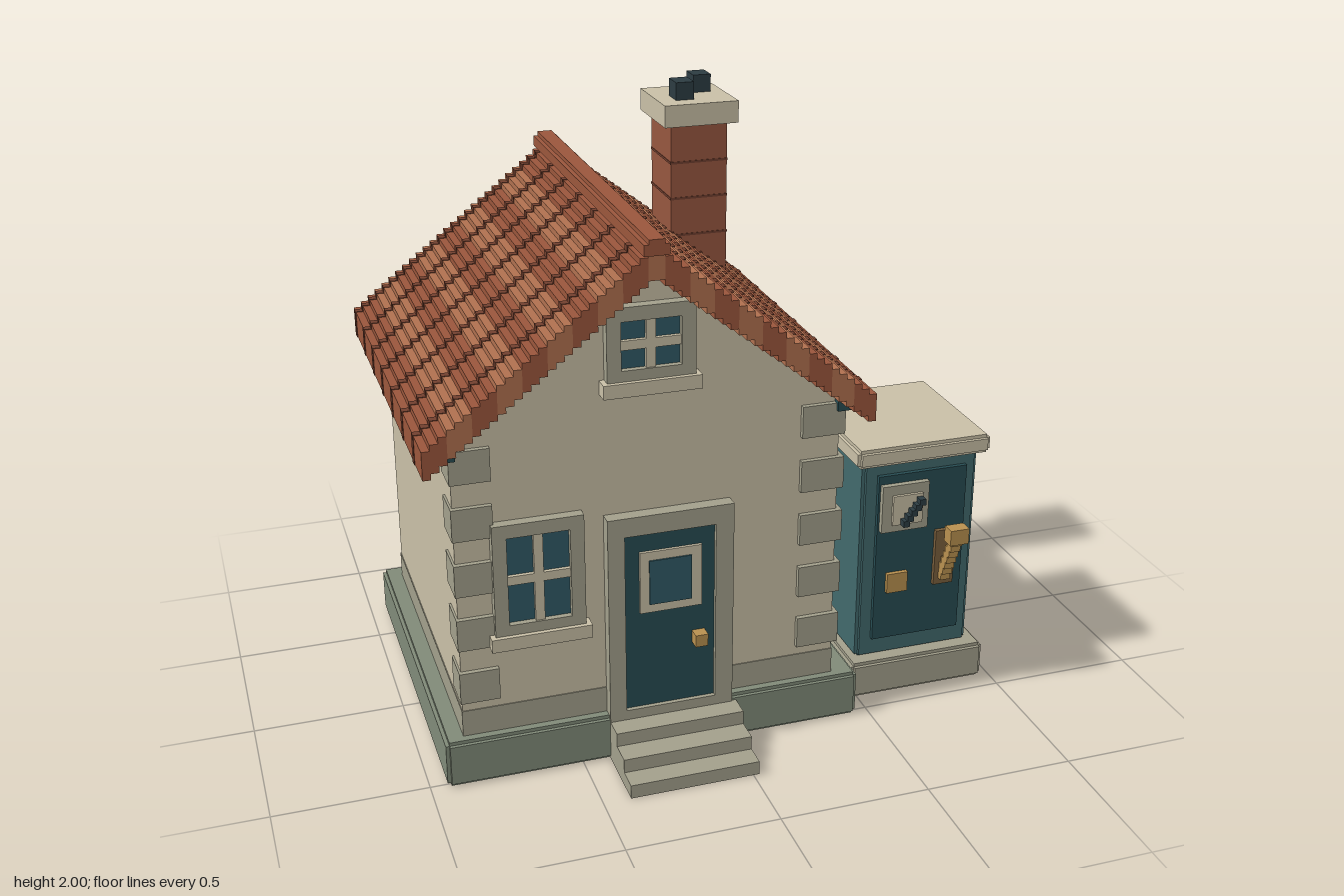
import * as THREE from 'three';
import { mergeGeometries } from 'three/addons/utils/BufferGeometryUtils.js';

const C = {
  wall: 0xc8bfa6, stone: 0xa29f8b, base: 0x808a78, tealDark: 0x274c52, teal: 0x41696c,
  glass: 0x305a65, iron: 0x2c3c42, pipe: 0x455156, brass: 0xb8904f, bronze: 0x7a5f3c,
  tileA: 0x9a563c, tileB: 0xb0704f, tileDark: 0x713f2e, brick: 0x96563f, mortar: 0x6f3e2e,
};
const mats = {};
const mat = (c) => (mats[c] ??= new THREE.MeshStandardMaterial({ color: C[c], flatShading: true }));

// Box geometry from its min and max along each axis
function boxGeo(x0, x1, y0, y1, z0, z1) {
  return new THREE.BoxGeometry(x1 - x0, y1 - y0, z1 - z0)
    .translate((x0 + x1) / 2, (y0 + y1) / 2, (z0 + z1) / 2);
}
function add(parent, name, color, geo) {
  const m = new THREE.Mesh(geo, mat(color));
  m.name = name;
  parent.add(m);
  return m;
}
const box = (parent, name, color, ...b) => add(parent, name, color, boxGeo(...b));
const boxes = (parent, name, color, list) => add(parent, name, color, mergeGeometries(list));
function group(parent, name) {
  const g = new THREE.Group();
  g.name = name;
  parent.add(g);
  return g;
}

// Slab with its upright edges and rims slightly stepped in
function steppedSlab(parent, name, color, x0, x1, y0, y1, z0, z1, e = 0.012) {
  boxes(parent, name, color, [
    boxGeo(x0 + e, x1 - e, y0, y1, z0 + e, z1 - e),
    boxGeo(x0, x1, y0 + e, y1 - e, z0 + e, z1 - e),
    boxGeo(x0 + e, x1 - e, y0 + e, y1 - e, z0, z1),
  ]);
}

// Four-pane window facing +z; origin at the centre of the glass on the wall
function makeWindow(parent, name, w, h) {
  const g = group(parent, name), f = 0.045, x = w / 2, y = h / 2;
  boxes(g, 'windowFrame', 'stone', [
    boxGeo(-x - f, -x, -y - f, y + f, -0.01, 0.035), boxGeo(x, x + f, -y - f, y + f, -0.01, 0.035),
    boxGeo(-x, x, y, y + f, -0.01, 0.035), boxGeo(-x, x, -y - f, -y, -0.01, 0.035),
  ]);
  box(g, 'windowGlass', 'glass', -x, x, -y, y, -0.01, 0.015);
  boxes(g, 'windowBars', 'wall', [
    boxGeo(-0.015, 0.015, -y, y, 0, 0.028), boxGeo(-x, x, -0.015, 0.015, 0, 0.028),
  ]);
  box(g, 'windowSill', 'wall', -x - f - 0.016, x + f + 0.016, -y - f - 0.035, -y - f + 0.01, -0.01, 0.05);
  return g;
}

function makeHouse(root) {
  const house = group(root, 'house');
  steppedSlab(house, 'foundation', 'base', -0.945, 0.455, 0, 0.16, -0.71, 0.525);

  // Walls with gable ends
  const s = new THREE.Shape([[-0.88, 0.15], [0.37, 0.15], [0.37, 1.19], [-0.255, 1.69], [-0.88, 1.19]]
    .map(([x, y]) => new THREE.Vector2(x, y)));
  add(house, 'walls', 'wall',
    new THREE.ExtrudeGeometry(s, { depth: 1.125, bevelEnabled: false }).translate(0, 0, -0.64));
  box(house, 'wallBand', 'stone', -0.883, 0.373, 0.15, 0.25, -0.643, 0.488);

  // Corner stones
  const stones = [];
  for (let i = 0; i < 5; i++) {
    const y = 0.285 + i * 0.189, t = y + 0.108;
    stones.push(
      boxGeo(-0.887, -0.76, y, t, 0.38, 0.502), boxGeo(0.24, 0.385, y, t, 0.36, 0.502),
      boxGeo(0.3, 0.385, y, t, 0.29, 0.495), boxGeo(0.3, 0.385, y, t, -0.65, -0.49));
  }
  boxes(house, 'cornerStones', 'stone', stones);

  // Windows
  makeWindow(house, 'frontWindow', 0.2, 0.3).position.set(-0.625, 0.7, 0.485);
  makeWindow(house, 'gableWindow', 0.19, 0.155).position.set(-0.26, 1.428, 0.485);
  const side = makeWindow(house, 'sideWindow', 0.2, 0.3);
  side.position.set(0.37, 0.71, -0.06);
  side.rotation.y = Math.PI / 2;

  // Door
  const door = group(house, 'frontDoor');
  boxes(door, 'doorFrame', 'stone', [
    boxGeo(-0.41, -0.355, 0.14, 0.865, 0.47, 0.53), boxGeo(-0.055, 0.005, 0.14, 0.865, 0.47, 0.53),
    boxGeo(-0.355, -0.055, 0.8, 0.865, 0.47, 0.53), boxGeo(-0.355, -0.055, 0.14, 0.175, 0.47, 0.53),
  ]);
  box(door, 'doorLeaf', 'tealDark', -0.355, -0.055, 0.175, 0.8, 0.47, 0.515);
  box(door, 'doorWindowFrame', 'wall', -0.305, -0.1, 0.52, 0.735, 0.5, 0.525);
  box(door, 'doorGlass', 'glass', -0.275, -0.135, 0.55, 0.705, 0.5, 0.53);
  box(door, 'doorKnob', 'brass', -0.13, -0.088, 0.383, 0.425, 0.5, 0.555);
  [0.755, 0.68, 0.6].forEach((z, i) =>
    box(house, 'step', 'stone', -0.41, 0.02, i * 0.047, (i + 1) * 0.047, 0.5, z));
}

// Stepped roof: one plank of tiles per step, with dark seams across
function makeRoof(root) {
  const roof = group(root, 'roof');
  const n = 28, cx = -0.257, half = 0.717, w = half / n, rise = 0.56 / n, e = 0.002;
  const parts = { tileA: [], tileB: [], tileDark: [] };
  for (const side of [-1, 1]) {
    for (let i = 0; i < n; i++) {
      const a = cx + side * (half - i * w), b = a - side * w;
      const x0 = Math.min(a, b), x1 = Math.max(a, b), y0 = 1.1 + i * rise, y1 = y0 + 0.092;
      parts[i % 6 < 3 ? 'tileA' : 'tileB'].push(boxGeo(x0, x1, y0, y1, -0.74, 0.565));
      for (let k = 0; k < 7; k++) {
        const z = -0.7 + k * 0.188;
        parts.tileDark.push(boxGeo(x0 - e, x1 + e, y0 - e, y1 + e, z - 0.014, z + 0.014));
      }
    }
    // Gutter under the eave
    const g = cx + side * 0.635;
    box(roof, 'gutter', 'tealDark', g - 0.025, g + 0.025, 1.125, 1.175, -0.66, 0.515);
  }
  for (const c in parts) boxes(roof, 'roofTiles', c, parts[c]);
  boxes(roof, 'ridgeCap', 'tileA', [
    boxGeo(-0.3, -0.22, 1.72, 1.755, -0.755, 0.58), boxGeo(-0.285, -0.235, 1.72, 1.77, -0.755, 0.58),
  ]);

  // Chimney
  const ch = group(root, 'chimney');
  box(ch, 'chimneyStack', 'brick', 0.07, 0.27, 1.31, 1.87, -0.54, -0.32);
  for (const y of [1.48, 1.61, 1.735])
    box(ch, 'mortarLine', 'mortar', 0.068, 0.272, y - 0.004, y + 0.004, -0.542, -0.318);
  box(ch, 'chimneyCap', 'wall', 0.04, 0.3, 1.865, 1.94, -0.57, -0.29);
  box(ch, 'chimneyPot', 'iron', 0.1, 0.163, 1.93, 2, -0.435, -0.355);
  box(ch, 'chimneyPot', 'iron', 0.192, 0.255, 1.93, 2, -0.525, -0.45);
}

function makePipes(root) {
  // Rainwater pipe
  const rain = group(root, 'rainPipe');
  box(rain, 'downpipe', 'pipe', 0.385, 0.44, 0.15, 1.15, -0.613, -0.558);
  box(rain, 'pipeElbow', 'pipe', 0.42, 0.485, 0.065, 0.165, -0.605, -0.565);
  box(rain, 'pipeOutlet', 'pipe', 0.44, 0.5, 0.06, 0.115, -0.615, -0.555);

  // Ribbed conduit from the wall to the cabinet
  const path = new THREE.CurvePath();
  const p = [[0.36, -0.2], [0.47, -0.19], [0.53, -0.06]].map(([x, z]) => new THREE.Vector3(x, 0.315, z));
  path.add(new THREE.LineCurve3(p[0], p[1]));
  path.add(new THREE.LineCurve3(p[1], p[2]));
  const ribs = [];
  for (let i = 0; i <= 12; i++) {
    const q = path.getPointAt(i / 12), r = i % 3 === 0 ? 0.038 : 0.028, d = i % 3 === 0 ? 0.012 : 0.022;
    const alongX = i < 6;
    ribs.push(boxGeo(q.x - (alongX ? d : r), q.x + (alongX ? d : r), q.y - r, q.y + r,
      q.z - (alongX ? r : d), q.z + (alongX ? r : d)));
  }
  boxes(root, 'conduit', 'pipe', ribs);
}

function makeCabinet(root) {
  const cab = group(root, 'cabinet');
  steppedSlab(cab, 'cabinetBase', 'stone', 0.475, 0.97, 0, 0.13, -0.135, 0.435);
  steppedSlab(cab, 'cabinetBody', 'teal', 0.508, 0.925, 0.125, 0.865, -0.07, 0.385);
  steppedSlab(cab, 'cabinetLid', 'wall', 0.478, 0.957, 0.855, 0.92, -0.105, 0.415);
  box(cab, 'cabinetDoor', 'tealDark', 0.56, 0.88, 0.2, 0.815, 0.37, 0.4);
  for (let i = 0; i < 4; i++) {
    const y = 0.3 + i * 0.094;
    box(cab, 'vent', 'iron', 0.9, 0.938, y - 0.014, y + 0.014, 0.055, 0.275);
  }
  // Gauge with a diagonal stepped pointer
  box(cab, 'gaugeFrame', 'stone', 0.567, 0.735, 0.615, 0.785, 0.39, 0.42);
  box(cab, 'gaugeFace', 'wall', 0.602, 0.71, 0.643, 0.75, 0.4, 0.43);
  const needle = [];
  for (let i = 0; i < 5; i++) {
    const x = 0.63 + i * 0.014, y = 0.645 + i * 0.018;
    needle.push(boxGeo(x, x + 0.022, y, y + 0.022, 0.42, 0.457));
  }
  boxes(cab, 'gaugePointer', 'iron', needle);
  box(cab, 'brassPlate', 'brass', 0.6, 0.675, 0.38, 0.452, 0.39, 0.415);

  // Lever slanting outwards in steps
  box(cab, 'leverPlate', 'bronze', 0.773, 0.845, 0.385, 0.59, 0.39, 0.415);
  const arm = [];
  for (let i = 0; i < 7; i++) {
    const y = 0.41 + i * 0.027, z = 0.405 + i * 0.012;
    arm.push(boxGeo(0.79, 0.825, y, y + 0.036, z, z + 0.03));
  }
  arm.push(boxGeo(0.773, 0.84, 0.585, 0.64, 0.475, 0.522));
  boxes(cab, 'lever', 'brass', arm);
}

export function createModel() {
  const root = new THREE.Group();
  root.name = 'cottage';
  makeHouse(root);
  makeRoof(root);
  makePipes(root);
  makeCabinet(root);
  return root;
}
